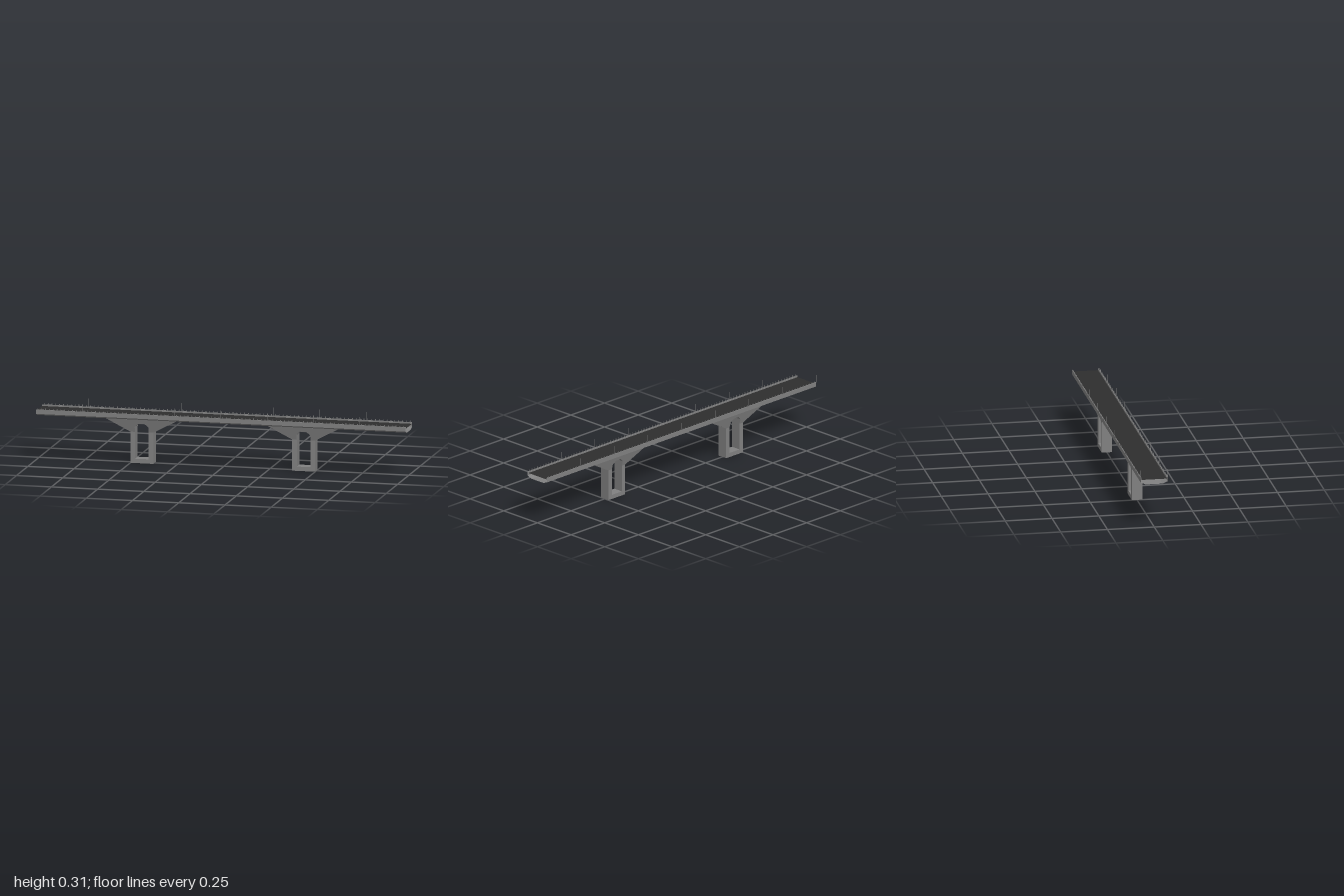
import * as THREE from 'three';

const concrete = new THREE.MeshStandardMaterial({ color: 0x808080, side: THREE.DoubleSide });
concrete.name = 'concrete';
const asphalt = new THREE.MeshStandardMaterial({ color: 0x2e2e2e, side: THREE.DoubleSide });
asphalt.name = 'asphalt';
const steel = new THREE.MeshStandardMaterial({ color: 0x777777 });
steel.name = 'steel';

function add(parent, name, geometry, material, x = 0, y = 0, z = 0) {
  const mesh = new THREE.Mesh(geometry, material);
  mesh.name = name;
  mesh.position.set(x, y, z);
  parent.add(mesh);
  return mesh;
}

// Open-ended shell: sweeps a [z, y] profile along the whole length
function sweep(profile) {
  const pos = [];
  for (let i = 0; i < profile.length - 1; i++) {
    const [z0, y0] = profile[i], [z1, y1] = profile[i + 1];
    pos.push(-1, y0, z0, -1, y1, z1, 1, y1, z1, -1, y0, z0, 1, y1, z1, 1, y0, z0);
  }
  const g = new THREE.BufferGeometry();
  g.setAttribute('position', new THREE.Float32BufferAttribute(pos, 3));
  g.computeVertexNormals();
  return g;
}

// Extrudes an [x, y] outline along z, its half depth given by a rule of y
function slab(points, halfDepth) {
  const shape = new THREE.Shape(points.map(([x, y]) => new THREE.Vector2(x, y)));
  const g = new THREE.ExtrudeGeometry(shape, { depth: 2, bevelEnabled: false });
  g.translate(0, 0, -1);
  const p = g.attributes.position;
  for (let i = 0; i < p.count; i++) p.setZ(i, p.getZ(i) * halfDepth(p.getY(i)));
  g.computeVertexNormals();
  return g;
}

export function createModel() {
  const bridge = new THREE.Group();
  bridge.name = 'bridge';

  // Deck: kerbs, side faces and sloped underside, open at both ends
  const half = [[-0.067, 0.262], [-0.067, 0.27], [-0.072, 0.27], [-0.072, 0.247], [-0.045, 0.236]];
  const mirrored = half.map(([z, y]) => [-z, y]).reverse();
  add(bridge, 'deckShell', sweep([...half, ...mirrored]), concrete);
  add(bridge, 'roadway', sweep([[0.067, 0.262], [-0.067, 0.262]]), asphalt);

  // Piers: U-shaped legs with a splayed head around an arched opening
  const spring = 0.167, top = 0.236, w = 0.062, o = 0.037;
  const legs = slab([[-w, 0], [w, 0], [w, spring], [o, spring], [o, 0.023],
    [-o, 0.023], [-o, spring], [-w, spring]], () => 0.028);
  const head = slab([[-w, spring], [-o, spring], [-o, 0.194], [-0.018, 0.213], [0.018, 0.213],
    [o, 0.194], [o, spring], [w, spring], [0.19, top], [-0.19, top]],
  (y) => 0.028 + 0.0175 * (y - spring) / (top - spring));
  for (const x of [-0.4375, 0.4375]) {
    const pier = new THREE.Group();
    pier.name = 'pier';
    pier.position.x = x;
    add(pier, 'pierLegs', legs, concrete);
    add(pier, 'pierHead', head, concrete);
    bridge.add(pier);
  }

  // Kerb posts and tall thin poles along both sides
  const post = new THREE.BoxGeometry(0.003, 0.007, 0.002);
  const foot = new THREE.BoxGeometry(0.003, 0.003, 0.005);
  const pole = new THREE.BoxGeometry(0.0015, 0.043, 0.0015);
  for (const side of [-1, 1]) {
    for (let i = 0; i < 96; i++) {
      const x = -1 + (i + 0.5) / 48;
      add(bridge, 'kerbPost', post, steel, x, 0.2735, side * 0.0718);
      add(bridge, 'kerbPostFoot', foot, steel, x, 0.2712, side * 0.0695);
    }
    for (let i = 0; i < 8; i++) {
      add(bridge, 'pole', pole, steel, -0.999 + i * 0.25, 0.2912, side * 0.0725);
    }
  }
  return bridge;
}
